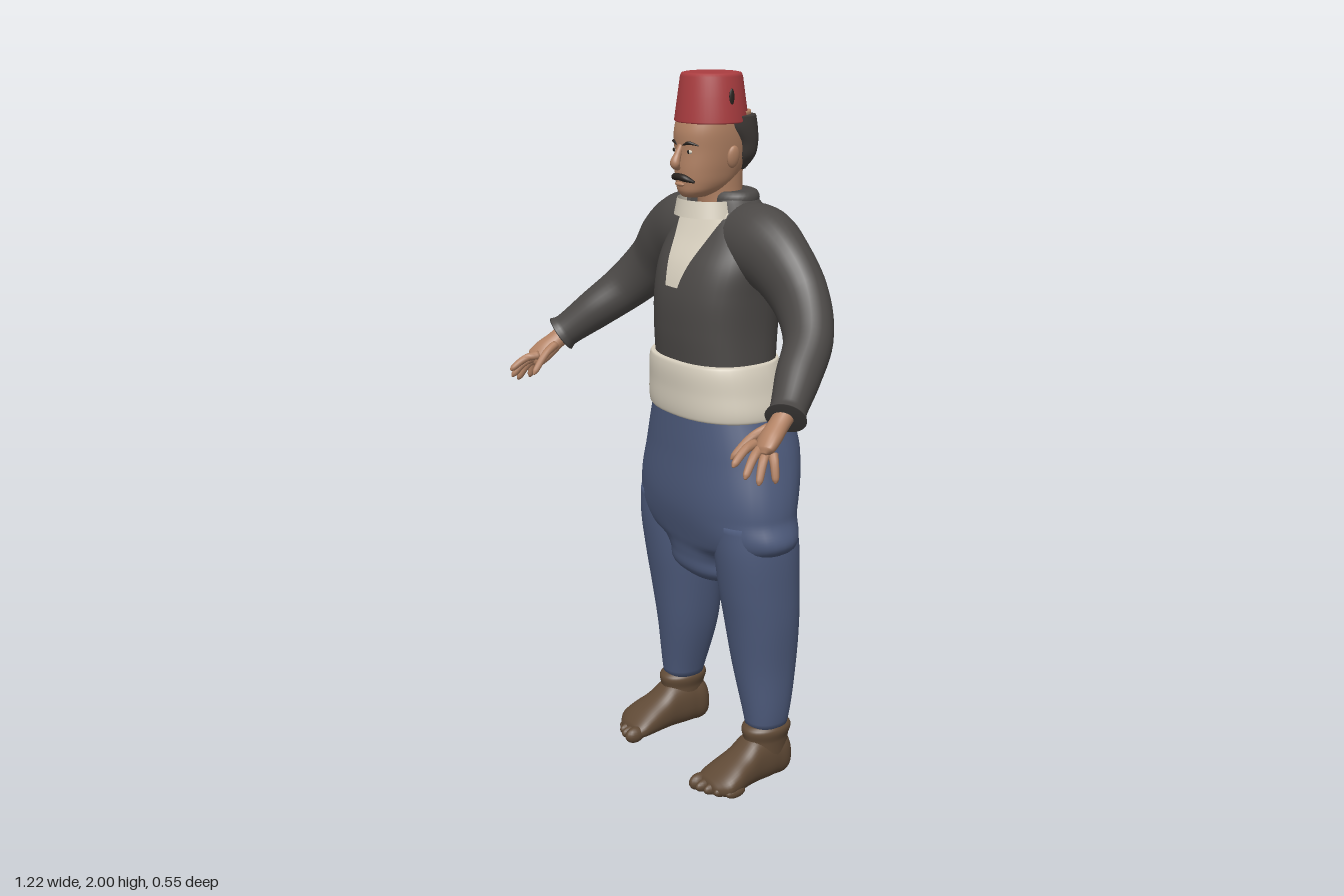
import * as THREE from 'three';

const mat = (name, color, extra = {}) => {
  const m = new THREE.MeshStandardMaterial({ color });
  m.name = name;
  return Object.assign(m, extra);
};

// Closed skin of nv + 1 rings with nu points each, capped at both ends
function skin(fn, nu, nv) {
  const pos = [], idx = [];
  for (let j = 0; j <= nv; j++)
    for (let i = 0; i < nu; i++) pos.push(...fn((i / nu) * Math.PI * 2, j / nv));
  for (let j = 0; j < nv; j++)
    for (let i = 0; i < nu; i++) {
      const k = (i + 1) % nu, a = j * nu + i, b = j * nu + k;
      idx.push(a, b, b + nu, a, b + nu, a + nu);
    }
  for (const j of [0, nv]) {
    const c = [0, 0, 0], n = pos.length / 3 >= (nv + 1) * nu ? pos.length / 3 : 0;
    for (let i = 0; i < nu; i++) for (let k = 0; k < 3; k++) c[k] += pos[(j * nu + i) * 3 + k] / nu;
    pos.push(...c);
    for (let i = 0; i < nu; i++) {
      const a = j * nu + i, b = j * nu + ((i + 1) % nu);
      if (j) idx.push(a, b, n); else idx.push(b, a, n);
    }
  }
  const g = new THREE.BufferGeometry();
  g.setAttribute('position', new THREE.Float32BufferAttribute(pos, 3));
  g.setIndex(idx);
  g.computeVertexNormals();
  return g;
}

// Smooth interpolation of a table whose first column ascends
function sampler(table) {
  const size = table[0].length - 1;
  const it = new THREE.CubicInterpolant(table.map(r => r[0]), table.flatMap(r => r.slice(1)), size, new Float32Array(size));
  return k => Array.from(it.evaluate(k));
}

const spow = (v, e) => Math.sign(v) * Math.abs(v) ** e;

// Sections [height, centre x, half width, back, front] stacked along y, or along z as [z, cx, half width, bottom, top]
function loft(table, { p = 2, axis = 'y', nu = 40, nv = 36, side = 1 } = {}) {
  const at = sampler(table), k0 = table[0][0], k1 = table[table.length - 1][0];
  return skin((a, v) => {
    const k = k0 + (k1 - k0) * v, [cx, rx, lo, hi] = at(k);
    const x = cx * side + rx * spow(Math.cos(a), 2 / p), m = (lo + hi) / 2, d = ((hi - lo) / 2) * spow(Math.sin(a), 2 / p);
    return axis === 'y' ? [x, k, m - d] : [x, m + d, k];
  }, nu, nv);
}

// Front z of a lofted surface at x, y
function frontOf(table, p) {
  const at = sampler(table);
  return (x, y) => {
    const [cx, rx, lo, hi] = at(y);
    const r = Math.min(1, Math.abs((x - cx) / rx));
    return (lo + hi) / 2 + ((hi - lo) / 2) * (1 - r ** p) ** (1 / p);
  };
}

// Limb through points [x, y, z, radius toward z, other radius]
function limb(pts, side = 1, nu = 20, nv = 32) {
  const curve = new THREE.CatmullRomCurve3(pts.map(q => new THREE.Vector3(q[0] * side, q[1], q[2])));
  const radii = sampler(pts.map((q, i) => [i, q[3], q[4] ?? q[3]]));
  return skin((a, v) => {
    const [ra, rb] = radii(v * (pts.length - 1)), t = curve.getTangent(v);
    const n1 = new THREE.Vector3(0, 0, 1).addScaledVector(t, -t.z).normalize();
    const n2 = new THREE.Vector3().crossVectors(t, n1);
    return curve.getPoint(v).addScaledVector(n1, ra * Math.cos(a)).addScaledVector(n2, rb * Math.sin(a)).toArray();
  }, nu, nv);
}

export function createModel() {
  const model = new THREE.Group();
  const jacketMat = mat('charcoal jacket', 0x4b4846), trouserMat = mat('blue trousers', 0x4d5a7b);
  const cream = mat('cream cloth', 0xd8d0bf, { side: THREE.DoubleSide }), skinMat = mat('skin', 0xb28264);
  const hatMat = mat('red felt', 0xaa3d40), footMat = mat('brown leather', 0x604a36);
  const hairMat = mat('hair', 0x403b38), dark = mat('dark details', 0x29231f);
  const add = (name, geo, material, parent = model) => {
    const m = new THREE.Mesh(geo, material);
    m.name = name;
    parent.add(m);
    return m;
  };
  const ball = (name, material, [x, y, z], [sx, sy, sz]) => {
    const m = add(name, new THREE.SphereGeometry(1, 16, 12), material);
    m.position.set(x, y, z);
    m.scale.set(sx, sy, sz);
    return m;
  };

  // Baggy trousers, sash and jacket body
  add('trouserSeat', loft([
    [0.588, 0, 0.1, -0.14, 0], [0.61, 0, 0.135, -0.175, 0.025], [0.66, 0, 0.15, -0.19, 0.035],
    [0.69, 0, 0.19, -0.2, 0.04], [0.715, 0, 0.282, -0.212, 0.047], [0.82, 0, 0.295, -0.235, 0.07],
    [0.98, 0, 0.258, -0.273, 0.072], [1.1, 0, 0.215, -0.255, 0.07]], { p: 2.3, nv: 60 }), trouserMat);
  add('sash', loft([
    [1.085, 0, 0.219, -0.259, 0.078], [1.09, 0, 0.221, -0.26, 0.08], [1.16, 0, 0.213, -0.248, 0.086],
    [1.235, 0, 0.196, -0.224, 0.086], [1.24, 0, 0.193, -0.222, 0.084]], { p: 2.3 }), cream);
  const torso = [
    [1.22, 0, 0.183, -0.215, 0.07], [1.32, 0, 0.18, -0.225, 0.078], [1.42, 0, 0.185, -0.235, 0.074],
    [1.5, 0, 0.192, -0.235, 0.05], [1.57, 0, 0.183, -0.22, 0.01], [1.63, 0, 0.15, -0.195, -0.022],
    [1.67, 0, 0.1, -0.175, -0.045], [1.69, 0, 0.08, -0.165, -0.055]];
  add('jacketBody', loft(torso, { p: 2.4, nv: 48 }), jacketMat);
  const jacketCollar = add('jacketCollar', new THREE.TorusGeometry(0.088, 0.016, 12, 40), jacketMat);
  jacketCollar.rotation.x = Math.PI / 2;
  jacketCollar.scale.set(1, 0.72, 1.3);
  jacketCollar.position.set(0, 1.67, -0.113);

  // Shirt front laid on the jacket, narrowing downwards
  const torsoFront = frontOf(torso, 2.4);
  const shirt = new THREE.PlaneGeometry(2, 1, 12, 24), sp = shirt.attributes.position;
  for (let i = 0; i < sp.count; i++) {
    const v = sp.getY(i) + 0.5, y = 1.44 + 0.2 * v, x = sp.getX(i) * (0.028 + 0.075 * v ** 1.2);
    sp.setXYZ(i, x, y, torsoFront(x, y) + 0.005);
  }
  shirt.computeVertexNormals();
  add('shirtFront', shirt, cream);
  const collar = add('shirtCollar', new THREE.CylinderGeometry(0.09, 0.1, 0.045, 32, 1, true, -Math.PI / 2, Math.PI), cream);
  collar.scale.z = 0.83;
  collar.position.set(0, 1.648, -0.043);

  // Head and neck
  add('neck', loft([[1.6, 0, 0.07, -0.16, -0.03], [1.66, 0, 0.058, -0.15, -0.025], [1.75, 0, 0.06, -0.15, -0.01]]), skinMat);
  const head = [
    [1.678, 0, 0.028, -0.035, 0.03], [1.69, 0, 0.046, -0.07, 0.04], [1.71, 0, 0.06, -0.11, 0.044],
    [1.75, 0, 0.072, -0.145, 0.047], [1.8, 0, 0.081, -0.165, 0.045], [1.85, 0, 0.086, -0.17, 0.045], [1.9, 0, 0.085, -0.165, 0.03]];
  add('head', loft(head, { p: 2.25 }), skinMat);
  add('hair', loft([
    [1.745, 0, 0.048, -0.15, -0.1], [1.78, 0, 0.077, -0.168, -0.09], [1.82, 0, 0.087, -0.176, -0.075],
    [1.86, 0, 0.092, -0.176, -0.035], [1.89, 0, 0.092, -0.17, -0.03]], { p: 2.5 }), hairMat);

  // Face details follow the surface of the head
  const face = frontOf(head, 2.25);
  const stroke = (name, pts, r, lift = 0.003) => add(name, limb(pts.map(([x, y], i) =>
    [x, y, face(x, y) + lift, i === 0 || i === pts.length - 1 ? r * 0.35 : r]), 1, 10, 20), dark);
  add('nose', limb([[0, 1.815, 0.04, 0.008], [0, 1.79, 0.052, 0.01], [0, 1.767, 0.06, 0.013, 0.014], [0, 1.753, 0.049, 0.006]]), skinMat);
  stroke('moustache', [[-0.045, 1.721], [-0.025, 1.73], [0, 1.733], [0.025, 1.73], [0.045, 1.721]], 0.009);
  ball('lowerLip', skinMat, [0, 1.713, 0.045], [0.02, 0.006, 0.008]);
  for (const s of [-1, 1]) {
    stroke('eyebrow', [[s * 0.014, 1.816], [s * 0.034, 1.823], [s * 0.056, 1.817]], 0.0045, 0.001);
    ball('eye', cream, [s * 0.033, 1.8, face(0.033, 1.8) - 0.001], [0.012, 0.0055, 0.004]);
    ball('pupil', dark, [s * 0.033, 1.8, face(0.033, 1.8) + 0.002], [0.005, 0.005, 0.002]);
    ball('ear', skinMat, [s * 0.084, 1.785, -0.068], [0.01, 0.03, 0.019]).rotation.z = -s * 0.15;
  }

  // Brimless felt hat with a short tassel mark on its left
  const hat = add('hat', new THREE.LatheGeometry(
    [[0, 1.872], [0.096, 1.872], [0.099, 1.876], [0.09, 1.94], [0.083, 1.99], [0.079, 1.998], [0.07, 2], [0, 2]]
      .map(q => new THREE.Vector2(...q)), 48), hatMat);
  hat.position.z = -0.057;
  ball('tassel', dark, [0.0905, 1.94, -0.057], [0.004, 0.022, 0.008]);

  for (const s of [-1, 1]) {
    // Sleeve with flared cuff
    add('sleeve', limb([
      [0.06, 1.56, -0.105, 0.09, 0.1], [0.17, 1.555, -0.105, 0.092, 0.11], [0.26, 1.515, -0.1, 0.076, 0.1],
      [0.34, 1.44, -0.1, 0.068, 0.087], [0.42, 1.36, -0.06, 0.062, 0.073], [0.48, 1.285, 0.02, 0.058, 0.06],
      [0.53, 1.222, 0.09, 0.046, 0.05], [0.541, 1.208, 0.106, 0.053, 0.056]], s, 28, 48), jacketMat);

    // Hand: palm, four fingers and thumb
    const hand = new THREE.Group();
    hand.name = 'hand';
    model.add(hand);
    add('palm', limb([[0.525, 1.225, 0.085, 0.028], [0.537, 1.193, 0.125, 0.025, 0.03], [0.547, 1.165, 0.16, 0.025, 0.037],
      [0.556, 1.142, 0.187, 0.019, 0.036], [0.56, 1.134, 0.197, 0.008, 0.02]], s), skinMat, hand);
    const fingers = [
      [[0.53, 1.157, 0.19], [0.552, 1.117, 0.275]], [[0.548, 1.147, 0.19], [0.577, 1.09, 0.257]],
      [[0.562, 1.138, 0.183], [0.594, 1.073, 0.228]], [[0.574, 1.136, 0.17], [0.603, 1.072, 0.183]],
      [[0.517, 1.185, 0.14], [0.488, 1.112, 0.233]]];
    fingers.forEach(([a, b], i) => {
      const mix = (t, r) => [...a.map((v, k) => v + (b[k] - v) * t + (k === 1 ? 0.012 * Math.sin(t * Math.PI) : 0)), r];
      add(i === 4 ? 'thumb' : 'finger', limb([mix(0, 0.013), mix(0.45, 0.0115), mix(0.9, 0.009), mix(1, 0.003)], s, 10, 16), skinMat, hand);
    });

    // Trouser leg
    add('trouserLeg', loft([
      [0.172, 0.209, 0.054, -0.17, -0.047], [0.18, 0.209, 0.056, -0.172, -0.046], [0.36, 0.19, 0.086, -0.205, -0.02],
      [0.5, 0.186, 0.102, -0.211, 0.002], [0.6, 0.184, 0.107, -0.21, 0.02], [0.72, 0.184, 0.106, -0.207, 0.037],
      [0.8, 0.18, 0.1, -0.2, 0.04]], { p: 2.2, side: s }), trouserMat);

    // Foot: ankle, sole shape and toes
    add('ankle', loft([[0.08, 0.21, 0.052, -0.178, -0.02], [0.13, 0.211, 0.053, -0.178, -0.035], [0.168, 0.211, 0.058, -0.183, -0.033],
      [0.178, 0.211, 0.05, -0.17, -0.045]], { side: s }), footMat);
    add('foot', loft([
      [-0.19, 0.205, 0.02, 0.03, 0.08], [-0.172, 0.205, 0.044, 0.006, 0.125], [-0.12, 0.207, 0.054, 0, 0.15],
      [-0.05, 0.21, 0.056, 0, 0.145], [-0.01, 0.212, 0.06, 0, 0.115], [0.04, 0.215, 0.068, 0, 0.088],
      [0.075, 0.212, 0.066, 0.003, 0.066], [0.1, 0.2, 0.045, 0.01, 0.045]], { p: 2.3, axis: 'z', side: s }), footMat);
    for (let i = 0; i < 5; i++) {
      const r = i ? 0.0155 - i * 0.0006 : 0.02;
      ball('toe', footMat, [s * (0.168 + i * 0.0262), 0.027 - i * 0.001, 0.1 - i * i * 0.0033], [r, r * 1.25, 0.033]);
    }
  }
  return model;
}
